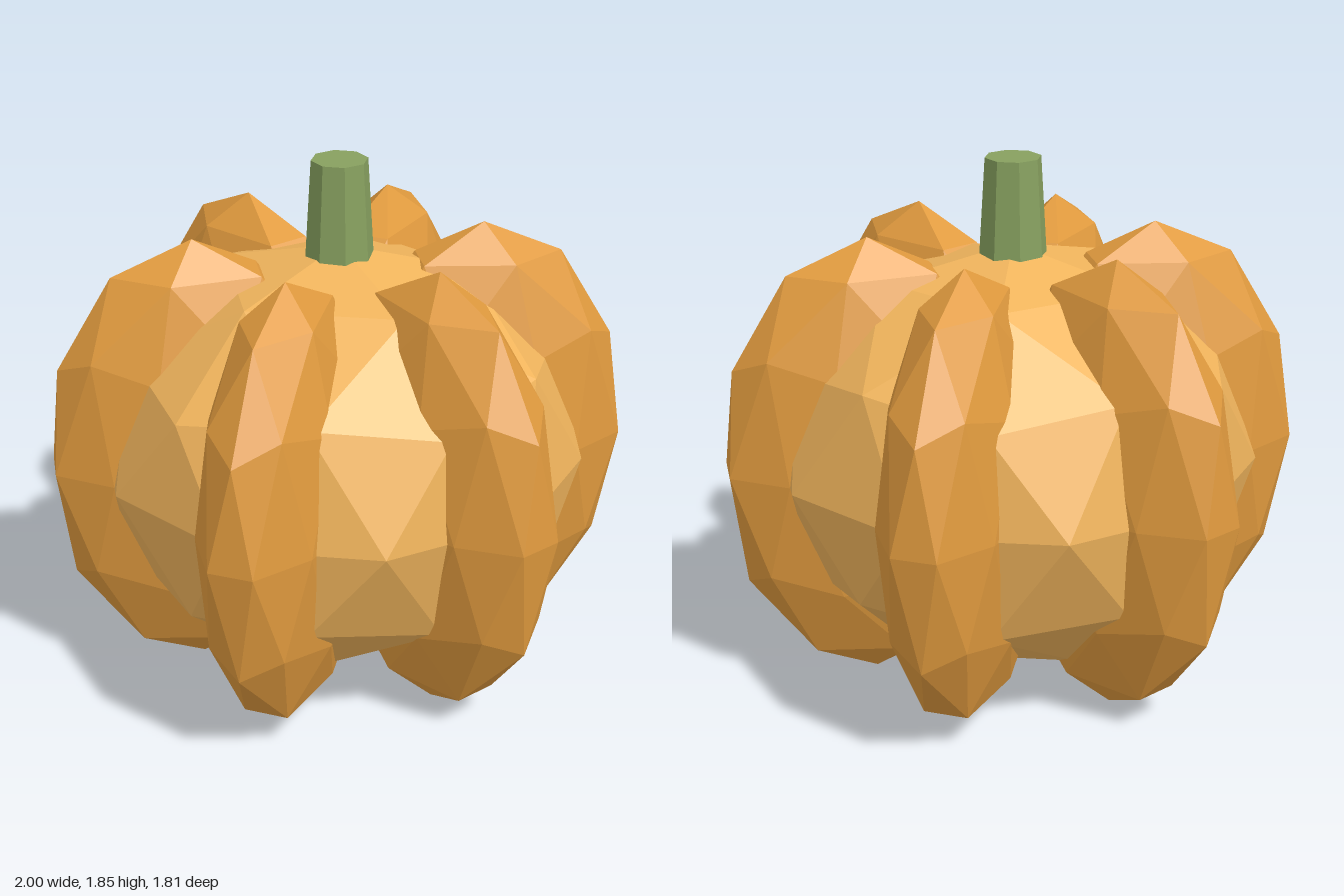
import * as THREE from 'three';

const CENTER_Y = 0.8;

// Faceted ball with a vertex at each pole, stretched to the given half sizes
function facetedBall(rx, ry, rz) {
  const geometry = new THREE.IcosahedronGeometry(1, 1);
  geometry.rotateZ(-Math.atan(2 / (1 + Math.sqrt(5))));
  geometry.scale(rx, ry, rz);
  geometry.computeVertexNormals();
  return geometry;
}

function flatMaterial(color) {
  return new THREE.MeshStandardMaterial({ color, flatShading: true });
}

export function createModel() {
  const model = new THREE.Group();
  model.name = 'pumpkin';

  // Inner body
  const body = new THREE.Mesh(facetedBall(0.85, 0.75, 0.85), flatMaterial(0xf0b45c));
  body.name = 'body';
  body.position.y = CENTER_Y;
  model.add(body);

  // Six ribs around the body, each pointing outwards
  const ribs = new THREE.Group();
  ribs.name = 'ribs';
  const ribGeometry = facetedBall(0.525, 0.8, 0.25);
  const ribMaterial = flatMaterial(0xe09a3e);
  for (let i = 0; i < 6; i++) {
    const angle = (i * Math.PI) / 3;
    const rib = new THREE.Mesh(ribGeometry, ribMaterial);
    rib.name = `rib${i + 1}`;
    rib.position.set(0.5 * Math.cos(angle), CENTER_Y, -0.5 * Math.sin(angle));
    rib.rotation.y = angle;
    ribs.add(rib);
  }
  model.add(ribs);

  // Tapered eight-sided stem, sunk into the body
  const stem = new THREE.Mesh(new THREE.CylinderGeometry(0.097, 0.121, 0.4, 8), flatMaterial(0x87a05f));
  stem.name = 'stem';
  stem.position.y = 1.65;
  model.add(stem);

  return model;
}
